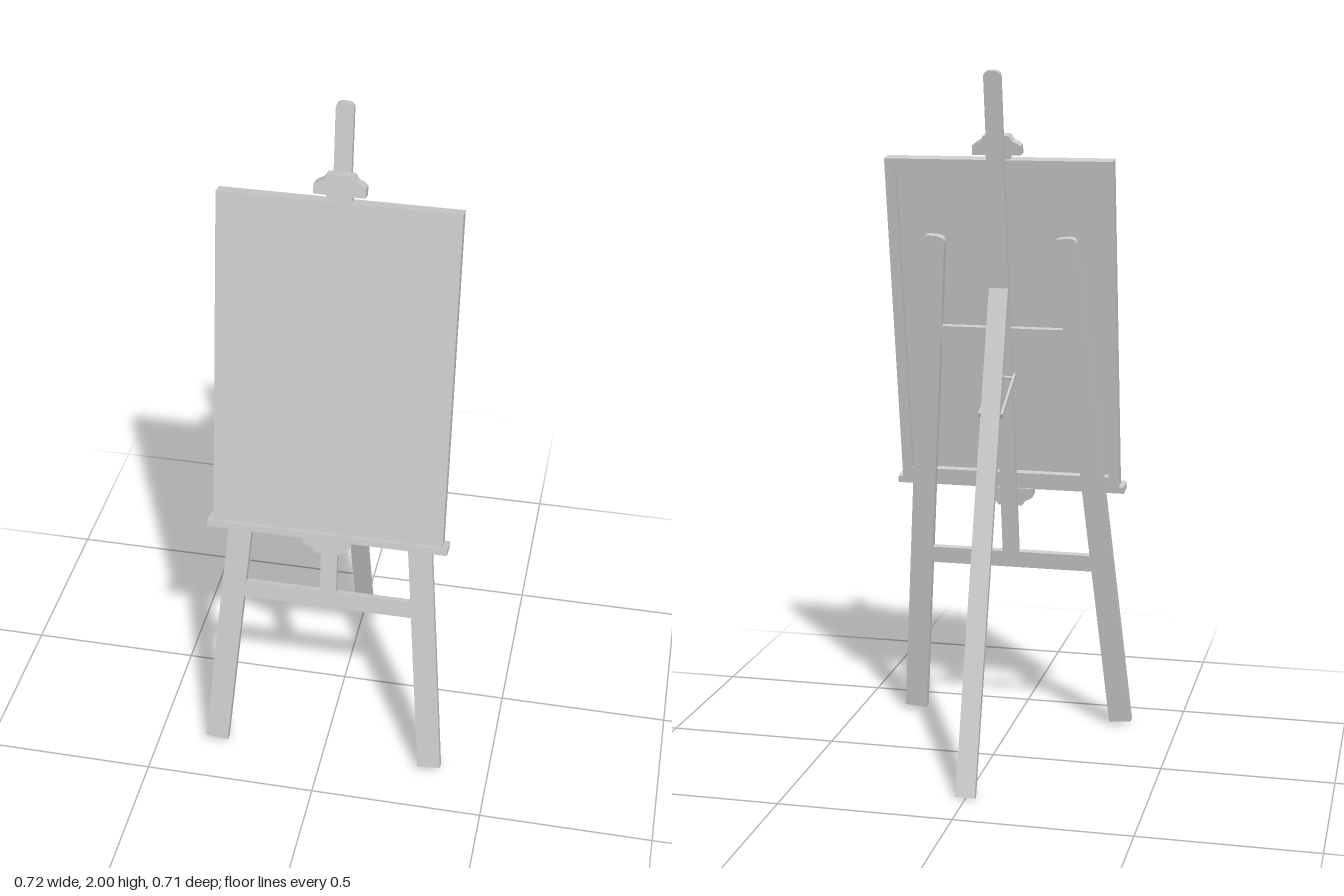
import * as THREE from 'three';

const material = new THREE.MeshStandardMaterial({ color: 0xcccccc, flatShading: true });

function addMesh(parent, name, geometry, x = 0, y = 0, z = 0) {
  const mesh = new THREE.Mesh(geometry, material);
  mesh.name = name;
  mesh.position.set(x, y, z);
  parent.add(mesh);
  return mesh;
}

// Box given by its centre x, height range and depth range
function slab(parent, name, width, y0, y1, z0, z1, x = 0) {
  const geometry = new THREE.BoxGeometry(width, y1 - y0, z1 - z0);
  return addMesh(parent, name, geometry, x, (y0 + y1) / 2, (z0 + z1) / 2);
}

const extrude = (shape, depth) =>
  new THREE.ExtrudeGeometry(shape, { depth, bevelEnabled: false, curveSegments: 5 });

// Upright plank standing on its origin, with rounded top corners
function plank(width, length, depth, radius) {
  const h = width / 2;
  const s = new THREE.Shape();
  s.moveTo(-h, 0);
  s.lineTo(h, 0);
  s.lineTo(h, length - radius);
  s.quadraticCurveTo(h, length, h - radius, length);
  s.lineTo(-h + radius, length);
  s.quadraticCurveTo(-h, length, -h, length - radius);
  return extrude(s, depth);
}

// Straight bar in the side plane, between two [y, z] points
function sideBar(parent, name, width, thickness, a, b, x = 0) {
  const dy = b[0] - a[0], dz = b[1] - a[1];
  const geometry = new THREE.BoxGeometry(width, Math.hypot(dy, dz), thickness);
  const bar = addMesh(parent, name, geometry, x, (a[0] + b[0]) / 2, (a[1] + b[1]) / 2);
  bar.rotation.x = Math.atan2(dz, dy);
  return bar;
}

// Clamp block: wide at its base, stepping in to a narrow end
function clampGeometry() {
  const half = [[0.07, 0], [0.07, 0.026], [0.06, 0.034], [0.048, 0.039], [0.042, 0.047], [0.036, 0.056]];
  const points = [...half, ...half.map(([x, y]) => [-x, y]).reverse()];
  return extrude(new THREE.Shape(points.map(([x, y]) => new THREE.Vector2(x, y))), 0.035);
}

export function createModel() {
  const model = new THREE.Group();
  model.name = 'easel';

  // Leaning front frame; its back lies on local z = 0
  const front = new THREE.Group();
  front.name = 'frontFrame';
  front.position.z = 0.332;
  front.rotation.x = -0.1763;
  model.add(front);

  // Splayed front legs
  for (const side of [-1, 1]) {
    const leg = addMesh(front, side > 0 ? 'leftLeg' : 'rightLeg',
      plank(0.068, 1.545, 0.025, 0.022), side * 0.325, 0.013, 0);
    leg.rotation.z = side * 0.087;
  }

  // Centre mast and the two rails
  addMesh(front, 'mast', plank(0.048, 1.467, 0.021, 0.018), 0, 0.56, 0);
  slab(front, 'lowerRail', 0.51, 0.518, 0.569, 0.003, 0.022);
  slab(front, 'upperRail', 0.39, 1.23, 1.28, 0.003, 0.022);

  // Ledge with the lower clamp beneath it
  slab(front, 'ledge', 0.69, 0.768, 0.788, 0.026, 0.078);
  const lowerClamp = addMesh(front, 'lowerClamp', clampGeometry(), 0, 0.77, 0.056);
  lowerClamp.rotation.x = Math.PI;

  // Upper clamp with a short foot that grips the canvas
  addMesh(front, 'upperClamp', clampGeometry(), 0, 1.785, 0.021);
  slab(front, 'upperClampFoot', 0.07, 1.77, 1.786, 0.035, 0.056);

  // Canvas panel on an open stretcher frame
  const canvas = new THREE.Group();
  canvas.name = 'canvas';
  front.add(canvas);
  const [w, bottom, top, rim] = [0.33, 0.788, 1.77, 0.03];
  const rectangle = (Type, inset) => new Type([
    new THREE.Vector2(-w + inset, bottom + inset), new THREE.Vector2(w - inset, bottom + inset),
    new THREE.Vector2(w - inset, top - inset), new THREE.Vector2(-w + inset, top - inset),
  ]);
  const frame = rectangle(THREE.Shape, 0);
  frame.holes.push(rectangle(THREE.Path, rim));
  addMesh(canvas, 'stretcherFrame', extrude(frame, 0.022), 0, 0, 0.026);
  slab(canvas, 'canvasPanel', w * 2, bottom, top, 0.048, 0.066);

  // Rear leg, with a pair of stays to the mast and the pins through them
  sideBar(model, 'rearLeg', 0.056, 0.018, [0.003, -0.345], [1.38, 0.074]);
  for (const side of [-1, 1]) {
    sideBar(model, 'stay', 0.007, 0.014, [1.118, 0.14], [1.03, -0.035], side * 0.032);
  }
  for (const [y, z] of [[1.113, 0.13], [1.035, -0.025]]) {
    const pin = addMesh(model, 'stayPin', new THREE.CylinderGeometry(0.005, 0.005, 0.07, 8), 0, y, z);
    pin.rotation.z = Math.PI / 2;
  }

  return model;
}
